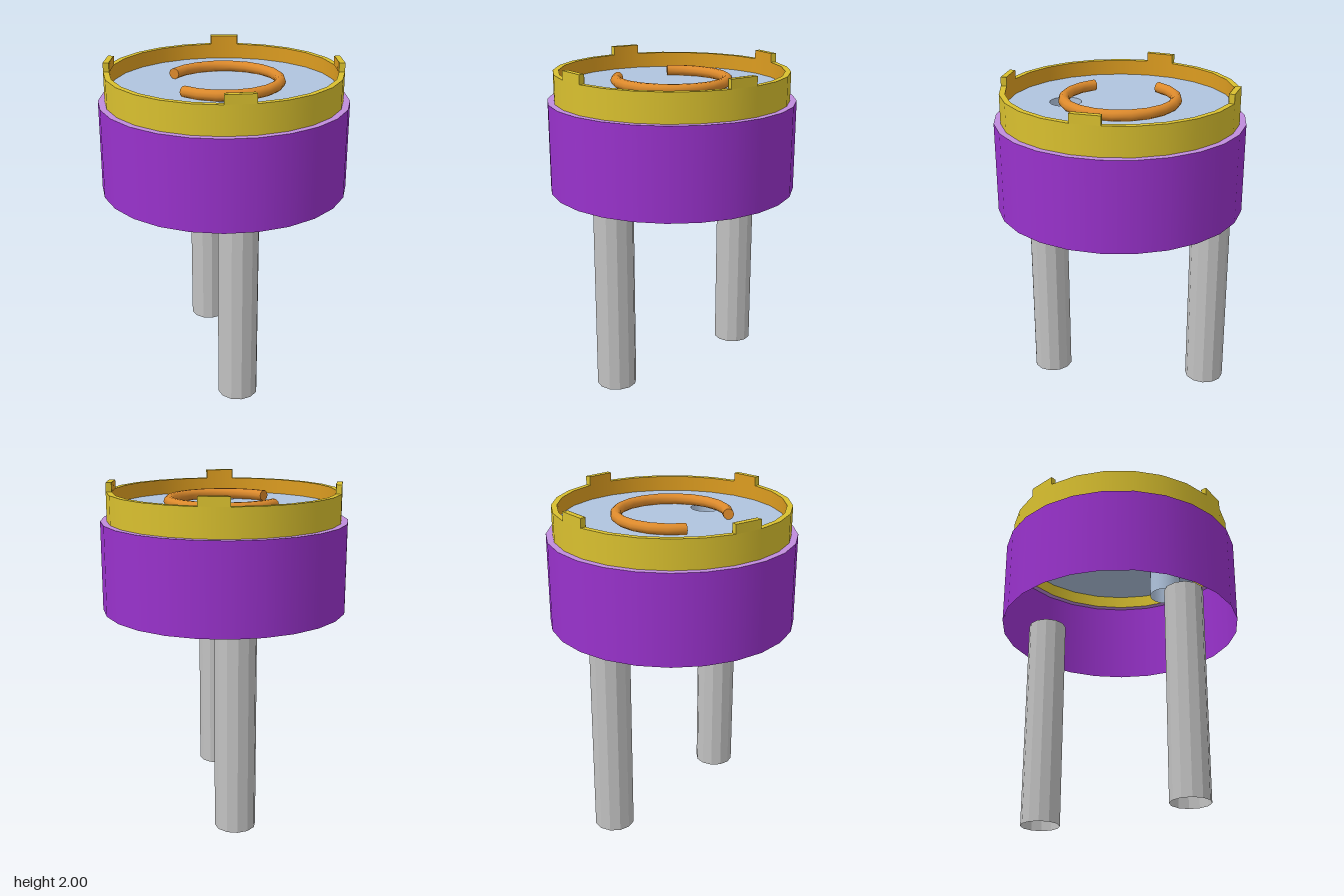
import * as THREE from 'three';

const SIDES = 25, STEP = Math.PI * 2 / SIDES;
const OUTER = 0.757, RIM_OUT = 0.717, RIM_IN = 0.682;
const DISC_Y = 1.852, RIM_Y = 1.945, TOP_Y = 2;

function material(name, color, flatShading = false) {
  const m = new THREE.MeshStandardMaterial({ color, side: THREE.DoubleSide, flatShading });
  m.name = name;
  return m;
}

export function createModel() {
  const purple = material('purple', 0x9932cc);
  const lilac = material('lilac', 0xc08cdc);
  const yellow = material('yellow', 0xd9c02f);
  const amber = material('amber', 0xdc9c20);
  const blue = material('paleBlue', 0xb0c4de);
  const orange = material('orange', 0xdd8a2c);
  const grey = material('grey', 0xc2c2c2, true);

  const model = new THREE.Group();
  model.name = 'twoLeggedCan';
  const body = new THREE.Group();
  body.name = 'body';
  body.position.x = -0.003;
  model.add(body);

  const add = (name, geometry, mat, x = 0, y = 0, z = 0) => {
    const mesh = new THREE.Mesh(geometry, mat);
    mesh.name = name;
    mesh.position.set(x, y, z);
    body.add(mesh);
    return mesh;
  };
  // Open wall between two heights, starting at a corner on +x
  const wall = (name, r, y0, y1, mat, start = 0, count = SIDES) =>
    add(name, new THREE.CylinderGeometry(r, r, y1 - y0, count, 1, true,
      Math.PI / 2 - (start + count) * STEP, count * STEP), mat, 0, (y0 + y1) / 2, 0);
  const flatRing = (name, inner, outer, y, mat) =>
    add(name, new THREE.RingGeometry(inner, outer, SIDES).rotateX(-Math.PI / 2), mat, 0, y, 0);
  const corner = (r, k) => new THREE.Vector2(r * Math.cos(k * STEP), r * Math.sin(k * STEP));

  // Outer shell, open below
  wall('shell', OUTER, 1.22, 1.77, purple);
  flatRing('shellLip', RIM_OUT, OUTER, 1.77, lilac);

  // Raised rim
  wall('rimOutside', RIM_OUT, 1.77, RIM_Y, yellow);
  wall('rimInside', RIM_IN, DISC_Y, RIM_Y, amber);
  flatRing('rimTop', RIM_IN, RIM_OUT, RIM_Y, yellow);

  // Four tabs, each one rim side wide
  for (const k of [0, 6, 13, 19]) {
    const shape = new THREE.Shape([corner(RIM_IN, k), corner(RIM_OUT, k),
      corner(RIM_OUT, k + 1), corner(RIM_IN, k + 1)]);
    const tab = new THREE.ExtrudeGeometry(shape, { depth: TOP_Y - RIM_Y, bevelEnabled: false });
    add('rimTab', tab.rotateX(Math.PI / 2), yellow, 0, TOP_Y, 0);
    wall('rimTabInside', RIM_IN - 0.002, RIM_Y, TOP_Y, amber, k, 1);
  }

  // Top disc with a drain hole and the tube beneath it
  const holeZ = 0.332, holeR = 0.096;
  const disc = new THREE.Shape(Array.from({ length: SIDES }, (_, k) => corner(RIM_OUT - 0.003, k)));
  disc.holes.push(new THREE.Path().absarc(0, -holeZ, holeR, 0, Math.PI * 2, true));
  add('disc', new THREE.ShapeGeometry(disc, 12).rotateX(-Math.PI / 2), blue, 0, DISC_Y, 0);
  add('drainTube', new THREE.CylinderGeometry(holeR, holeR, DISC_Y - 1.38, 24, 1, true),
    blue, 0, (DISC_Y + 1.38) / 2, holeZ);

  // Open heating ring lying on the disc
  const R = 0.338, r = 0.033, half = Math.PI * 0.8, coilY = DISC_Y + r;
  add('coil', new THREE.TorusGeometry(R, r, 10, 16, 2 * half).rotateZ(-half).rotateX(Math.PI / 2),
    orange, 0, coilY, 0);
  for (const a of [-half, half]) {
    add('coilEnd', new THREE.CircleGeometry(r, 10), orange,
      R * Math.cos(a), coilY, R * Math.sin(a)).rotation.y = -a;
  }

  // Hollow legs
  for (const [name, z] of [['frontLeg', 0.462], ['backLeg', -0.568]]) {
    add(name, new THREE.CylinderGeometry(0.123, 0.123, 1.38, 12, 1, true), grey, -0.002, 0.69, z);
  }
  return model;
}
